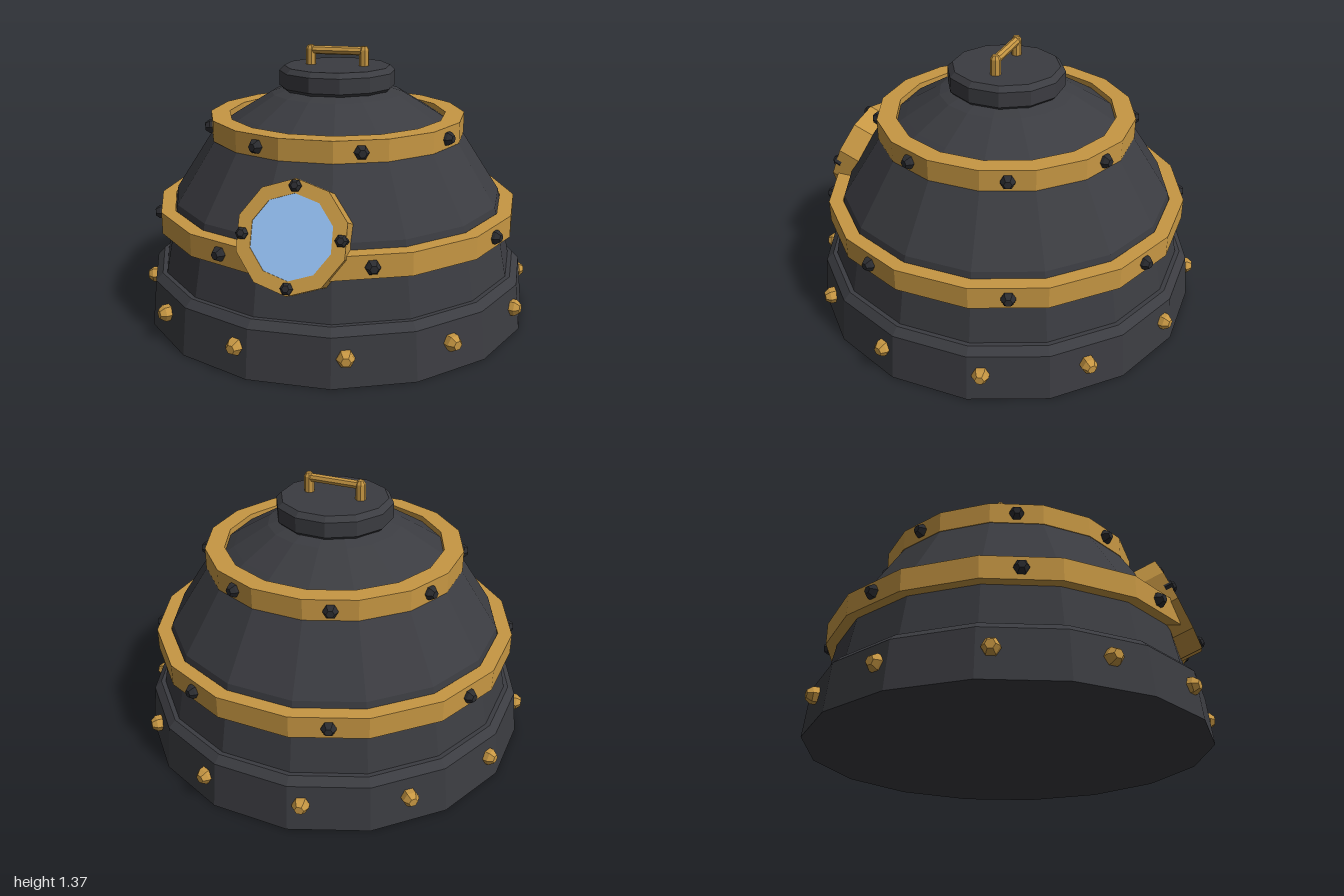
import * as THREE from 'three';

const SIDES = 16;
const mat = (color) => new THREE.MeshStandardMaterial({ color, flatShading: true });

// Faceted solid of revolution; radii are measured to the middle of the flat sides
function turned(name, profile, sides, material) {
  const k = 1 / Math.cos(Math.PI / sides);
  const pts = profile.map(([r, y]) => new THREE.Vector2(r * k, y));
  const mesh = new THREE.Mesh(new THREE.LatheGeometry(pts, sides, Math.PI / sides), material);
  mesh.name = name;
  return mesh;
}

// Square-section hoop
const hoop = (name, inner, outer, y0, y1, material) => turned(name,
  [[inner, y0], [outer, y0], [outer, y1], [inner, y1], [inner, y0]], SIDES, material);

// Six-sided bolt head pointing along +z, seated on z = 0
function bolt(r, h, material) {
  const pts = [[r, -0.03], [r, h * 0.4], [r * 0.55, h], [0, h]].map(([x, y]) => new THREE.Vector2(x, y));
  const geo = new THREE.LatheGeometry(pts, 6, Math.PI / 6).rotateX(Math.PI / 2);
  const mesh = new THREE.Mesh(geo, material);
  mesh.name = 'bolt';
  return mesh;
}

// Ring of evenly spaced bolts facing outward
function boltRing(name, count, radius, y, r, h, material) {
  const ring = new THREE.Group();
  ring.name = name;
  for (let i = 0; i < count; i++) {
    const a = ((i + 0.5) / count) * Math.PI * 2;
    const b = bolt(r, h, material);
    b.position.set(Math.sin(a) * radius, y, Math.cos(a) * radius);
    b.rotation.y = a;
    ring.add(b);
  }
  return ring;
}

export function createModel() {
  const dark = mat(0x3b3c41), bolts = mat(0x2b2c30), brass = mat(0xc79743), blue = mat(0x95c2f5);
  const model = new THREE.Group();
  model.name = 'divingBell';

  // Heavy foot and domed shell
  model.add(turned('base', [[0, 0], [0.98, 0], [0.955, 0.235], [0.92, 0.27], [0.8, 0.27]], SIDES, dark));
  model.add(turned('shell', [[0.9, 0.26], [0.83, 0.62], [0.62, 0.95], [0.5, 1.03],
    [0.33, 1.135], [0.27, 1.155], [0, 1.155]], SIDES, dark));

  // Brass bands with their bolts
  model.add(hoop('lowerBand', 0.84, 0.91, 0.48, 0.59, brass));
  model.add(hoop('upperBand', 0.545, 0.64, 0.925, 1.03, brass));
  model.add(boltRing('baseBolts', 12, 0.975, 0.14, 0.041, 0.042, brass));
  model.add(boltRing('lowerBandBolts', 8, 0.91, 0.535, 0.035, 0.036, bolts));
  model.add(boltRing('upperBandBolts', 8, 0.64, 0.975, 0.035, 0.036, bolts));

  // Hatch on top
  model.add(turned('hatch', [[0, 1.15], [0.265, 1.15], [0.285, 1.17], [0.285, 1.245],
    [0.26, 1.27], [0, 1.27]], 12, dark));

  // Lifting handle
  const handle = new THREE.Group();
  handle.name = 'handle';
  for (const s of [-1, 1]) {
    const post = turned('handlePost', [[0, 1.25], [0.024, 1.25], [0.024, 1.35], [0.014, 1.368], [0, 1.368]], 8, brass);
    post.position.x = s * 0.138;
    handle.add(post);
  }
  const bar = new THREE.Mesh(new THREE.CylinderGeometry(0.022, 0.022, 0.28, 8), brass);
  bar.name = 'handleBar';
  bar.rotation.z = Math.PI / 2;
  bar.position.y = 1.343;
  handle.add(bar);
  model.add(handle);

  // Porthole leaning back on the front of the shell
  const porthole = new THREE.Group();
  porthole.name = 'porthole';
  porthole.position.set(0, 0.66, 0.89);
  porthole.rotation.x = -0.375;
  const section = [[0.19, -0.125], [0.255, -0.125], [0.255, 0], [0.19, 0], [0.19, -0.125]]
    .map(([r, y]) => new THREE.Vector2(r, y));
  const frame = new THREE.Mesh(new THREE.LatheGeometry(section, 10).rotateX(Math.PI / 2), brass);
  frame.name = 'portholeFrame';
  const glass = new THREE.Mesh(new THREE.CircleGeometry(0.192, 10, Math.PI / 2), blue);
  glass.name = 'portholeGlass';
  glass.position.z = -0.005;
  porthole.add(frame, glass);
  for (let i = 0; i < 4; i++) {
    const b = bolt(0.029, 0.022, bolts);
    const a = (i * Math.PI) / 2;
    b.position.set(Math.cos(a) * 0.222, Math.sin(a) * 0.222, 0);
    porthole.add(b);
  }
  model.add(porthole);

  return model;
}
